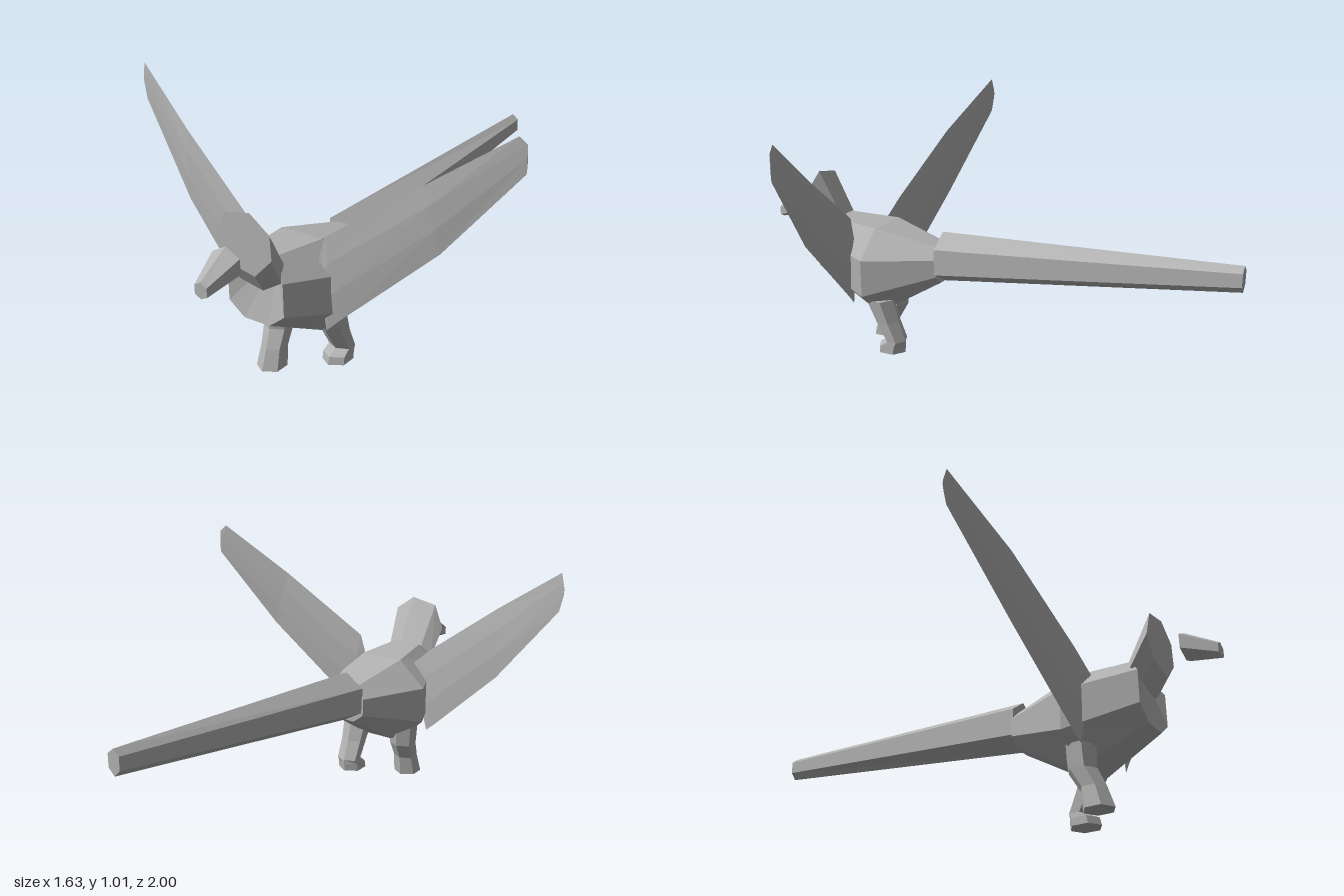
import * as THREE from 'three';

const grey = new THREE.MeshStandardMaterial({ color: 0xb2b2b2 });
grey.name = 'grey';
grey.flatShading = true;

// Closed faceted solid through rings of [x, y, z] points, capped at both ends
function loft(name, rings) {
  const n = rings[0].length;
  let tris = [];
  for (let r = 0; r < rings.length - 1; r++) {
    for (let i = 0; i < n; i++) {
      const j = (i + 1) % n;
      const a = rings[r][i], b = rings[r][j], c = rings[r + 1][j], d = rings[r + 1][i];
      tris.push([a, b, c], [a, c, d]);
    }
  }
  const first = rings[0], last = rings[rings.length - 1];
  for (let i = 1; i < n - 1; i++) {
    tris.push([first[0], first[i + 1], first[i]], [last[0], last[i], last[i + 1]]);
  }
  // Turn every face outward using the sign of the enclosed volume
  const v = (p) => new THREE.Vector3(...p);
  const volume = tris.reduce((s, [a, b, c]) => s + v(a).dot(v(b).cross(v(c))), 0);
  if (volume < 0) tris = tris.map(([a, b, c]) => [a, c, b]);
  const geometry = new THREE.BufferGeometry();
  geometry.setAttribute('position', new THREE.Float32BufferAttribute(tris.flat(2), 3));
  geometry.computeVertexNormals();
  const mesh = new THREE.Mesh(geometry, grey);
  mesh.name = name;
  return mesh;
}

// Symmetric ring from its +x half, listed from top to bottom
const mirrorRing = (half) => [...half, ...half.slice().reverse().map(([x, y, z]) => [-x, y, z])];

// Six-sided upright ring with points at top and bottom
const hexRing = (cx, w, top, up, low, bottom, z) => [
  [cx, top, z], [cx + w, up, z], [cx + w, low, z],
  [cx, bottom, z], [cx - w, low, z], [cx - w, up, z],
];

// Level six-sided ring for the legs
function legRing([x, y, z, rx, rz]) {
  return Array.from({ length: 6 }, (_, i) => {
    const a = (i * Math.PI) / 3;
    return [x + rx * Math.sin(a) * 1.15, y, z + rz * Math.cos(a)];
  });
}

// Thin lens-shaped wing; each section is [bottomX, bottomY, topX, topY, half thickness]
function wing(name, side, sections) {
  const sweep = (x) => (x < 0.52 ? 0.555 - (x - 0.14) * 0.19 : 0.483 - (x - 0.52) * 0.29);
  return loft(name, sections.map(([bx, by, tx, ty, h]) => {
    const at = (t, dz) => {
      const x = bx + (tx - bx) * t;
      return [side * x, by + (ty - by) * t, sweep(x) + dz];
    };
    return [at(0, 0), at(0.35, h), at(0.7, h), at(1, 0), at(0.7, -h), at(0.35, -h)];
  }));
}

export function createModel() {
  const model = new THREE.Group();
  model.name = 'bird';

  // Octagonal body, widest in the middle
  model.add(loft('body', [
    mirrorRing([[0.06, 0.54, 0.69], [0.12, 0.47, 0.74], [0.12, 0.345, 0.74], [0.055, 0.295, 0.74]]),
    mirrorRing([[0.09, 0.53, 0.48], [0.205, 0.425, 0.48], [0.205, 0.275, 0.48], [0.08, 0.165, 0.48]]),
    mirrorRing([[0.035, 0.47, 0.21], [0.08, 0.43, 0.21], [0.08, 0.36, 0.21], [0.035, 0.325, 0.21]]),
  ]));

  // Seven-sided head leaning forward from the chest
  model.add(loft('head', [
    [[0.03, 0.54, 0.685], [0.09, 0.52, 0.695], [0.10, 0.46, 0.72], [0.03, 0.42, 0.735],
      [-0.07, 0.44, 0.735], [-0.11, 0.49, 0.71], [-0.07, 0.535, 0.69]],
    [[0.03, 0.72, 0.785], [0.11, 0.66, 0.785], [0.115, 0.57, 0.785], [0.04, 0.495, 0.785],
      [-0.08, 0.52, 0.785], [-0.12, 0.60, 0.785], [-0.08, 0.70, 0.785]],
  ]));

  // Beak, separate from the head
  model.add(loft('beak', [
    hexRing(0.003, 0.058, 0.63, 0.60, 0.545, 0.52, 0.875),
    hexRing(0.003, 0.026, 0.555, 0.54, 0.507, 0.495, 1.0),
  ]));

  // Long tapering tail, bent slightly to the left
  model.add(loft('tail', [
    hexRing(0.005, 0.078, 0.53, 0.475, 0.37, 0.325, 0.215),
    hexRing(0.08, 0.025, 0.597, 0.575, 0.525, 0.5, -1.0),
  ]));

  // Raised wings
  model.add(wing('leftWing', 1, [
    [0.155, 0.22, 0.13, 0.49, 0.004],
    [0.20, 0.265, 0.155, 0.58, 0.008],
    [0.56, 0.59, 0.50, 0.82, 0.007],
    [0.812, 0.895, 0.785, 1.015, 0.002],
    [0.814, 0.92, 0.812, 0.99, 0.001],
  ]));
  model.add(wing('rightWing', -1, [
    [0.19, 0.215, 0.11, 0.50, 0.004],
    [0.23, 0.25, 0.20, 0.58, 0.008],
    [0.53, 0.54, 0.52, 0.82, 0.007],
    [0.80, 0.87, 0.80, 1.015, 0.002],
    [0.814, 0.93, 0.815, 0.96, 0.001],
  ]));

  // Legs: ring centre x, y, z, then half width and half depth
  model.add(loft('leftLeg', [
    [0.10, 0.24, 0.46, 0.054, 0.06],
    [0.10, 0.15, 0.425, 0.047, 0.05],
    [0.10, 0.07, 0.385, 0.045, 0.04],
    [0.098, 0.05, 0.405, 0.048, 0.06],
    [0.098, 0.02, 0.41, 0.049, 0.062],
  ].map(legRing)));
  model.add(loft('rightLeg', [
    [-0.10, 0.24, 0.50, 0.056, 0.06],
    [-0.10, 0.15, 0.505, 0.048, 0.055],
    [-0.095, 0.08, 0.54, 0.043, 0.05],
    [-0.097, 0.0, 0.557, 0.049, 0.06],
  ].map(legRing)));

  return model;
}
